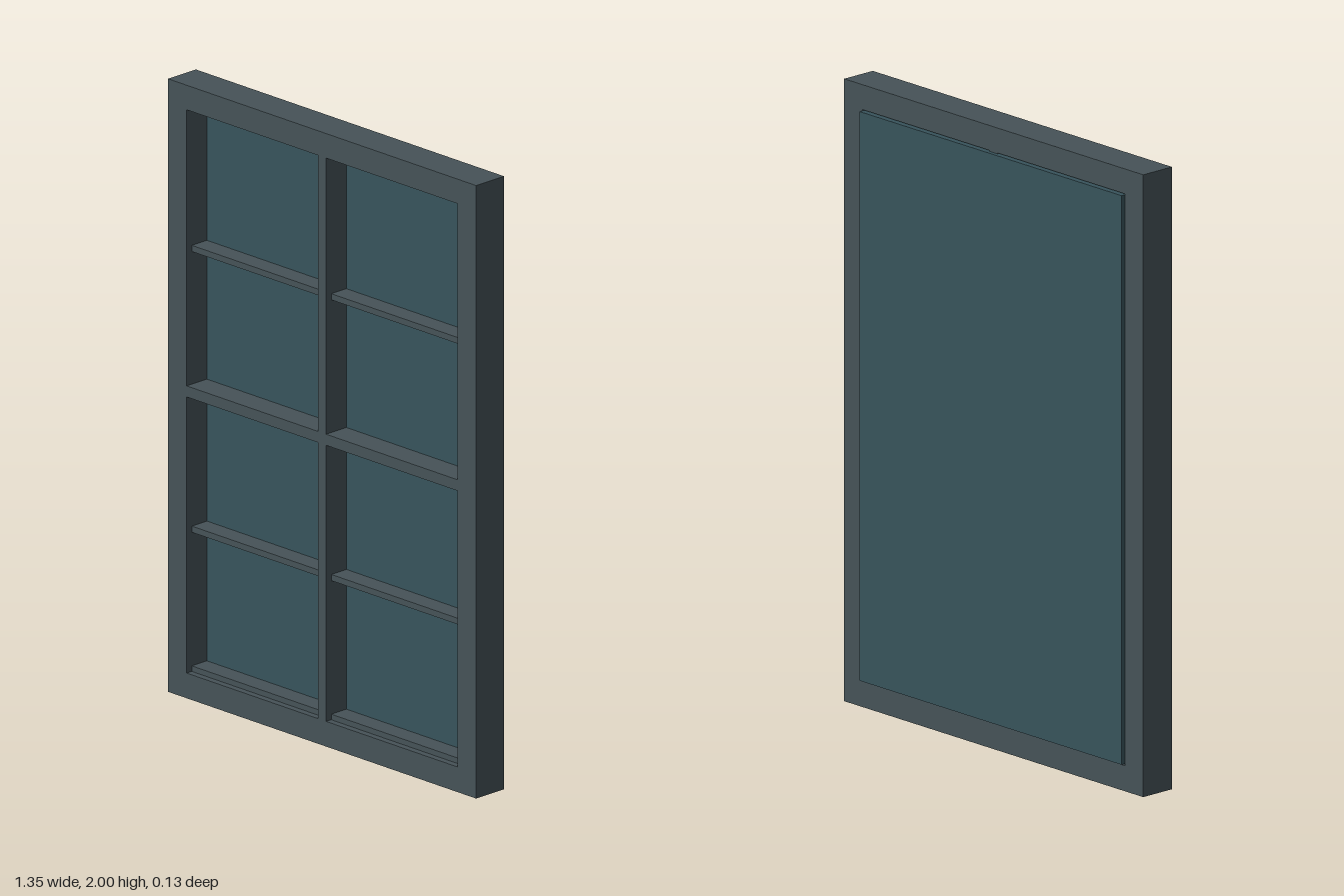
import * as THREE from 'three';

const frameMaterial = new THREE.MeshStandardMaterial({ color: 0x465358 });
const glassMaterial = new THREE.MeshStandardMaterial({ color: 0x38545c });

const BACK = -0.053, FRONT = 0.067;   // frame depth
const INNER_X = 0.593, MULLION = 0.018; // opening edge and half mullion width

function addRect(path, x0, y0, x1, y1) {
  path.moveTo(x0, y0);
  path.lineTo(x1, y0);
  path.lineTo(x1, y1);
  path.lineTo(x0, y1);
  path.closePath();
  return path;
}

function addBox(group, name, material, x0, x1, y0, y1, z0, z1) {
  const mesh = new THREE.Mesh(new THREE.BoxGeometry(x1 - x0, y1 - y0, z1 - z0), material);
  mesh.position.set((x0 + x1) / 2, (y0 + y1) / 2, (z0 + z1) / 2);
  mesh.name = name;
  group.add(mesh);
}

export function createModel() {
  const model = new THREE.Group();
  model.name = 'window';

  // Outer frame with the flush centre cross, cut by four openings
  const outline = addRect(new THREE.Shape(), -0.675, 0, 0.675, 2);
  for (const [x0, x1] of [[-INNER_X, -MULLION], [MULLION, INNER_X]]) {
    for (const [y0, y1] of [[0.082, 0.983], [1.019, 1.92]]) {
      outline.holes.push(addRect(new THREE.Path(), x0, y0, x1, y1));
    }
  }
  const frame = new THREE.Mesh(
    new THREE.ExtrudeGeometry(outline, { depth: FRONT - BACK, bevelEnabled: false }),
    frameMaterial
  );
  frame.position.z = BACK;
  frame.name = 'frame';
  model.add(frame);

  // Thin glazing bars, set back from the frame front
  for (const y of [0.09, 0.546, 1.462]) {
    for (const side of [-1, 1]) {
      const xs = [side * MULLION, side * INNER_X].sort((a, b) => a - b);
      addBox(model, 'glazingBar', frameMaterial, xs[0], xs[1], y - 0.01, y + 0.01, -0.03, 0.045);
    }
  }

  // Glass sheet, standing slightly proud of the back
  addBox(model, 'glass', glassMaterial, -0.592, 0.59, 0.088, 1.917, -0.067, -0.02);

  return model;
}
